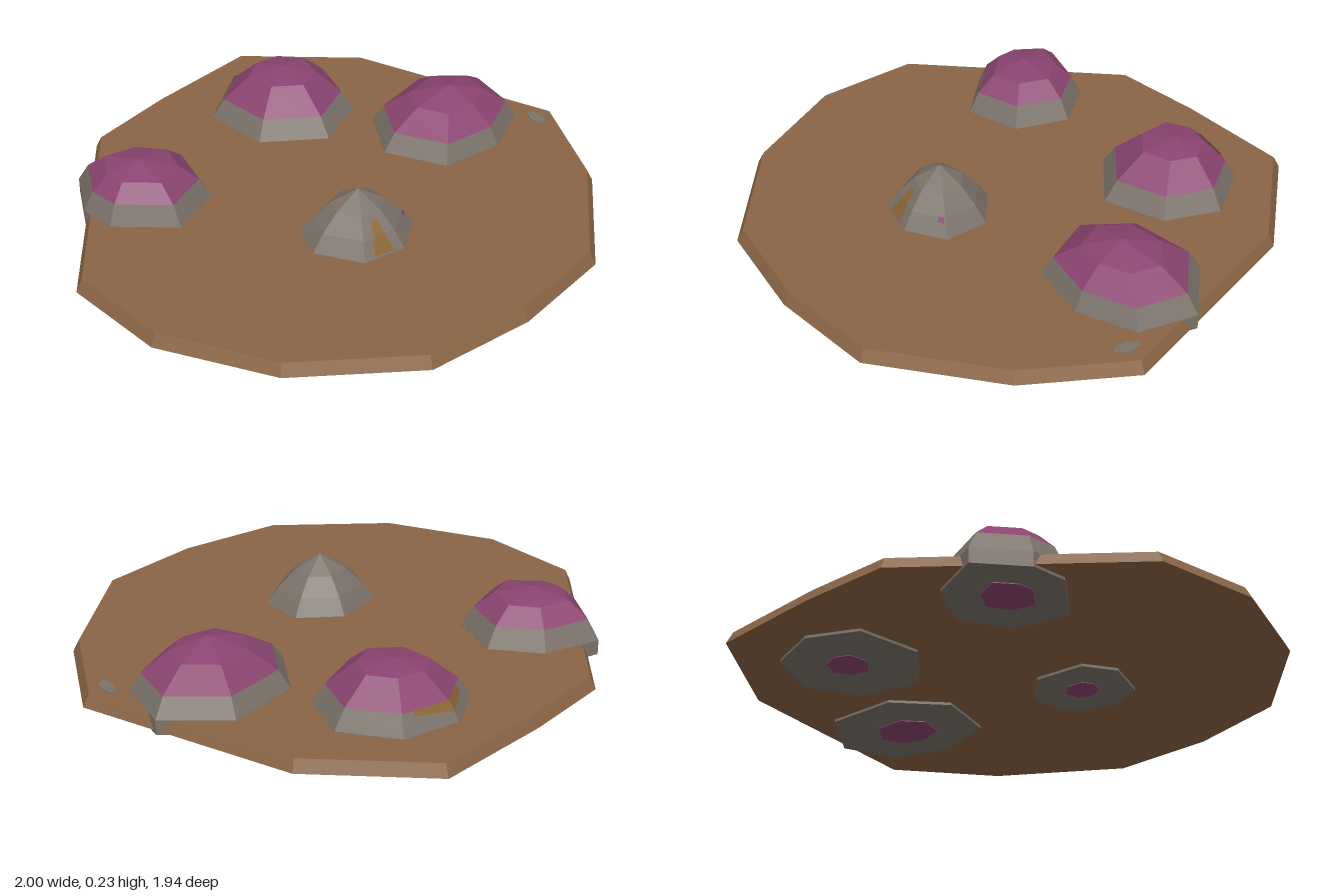
import * as THREE from 'three';

const mat = (name, color, side = THREE.FrontSide) => {
  const m = new THREE.MeshStandardMaterial({ color, side, flatShading: true });
  m.name = name;
  return m;
};

// Flat-shaded mesh from a list of triangle corners
function facets(name, points, material) {
  const g = new THREE.BufferGeometry().setFromPoints(points);
  g.computeVertexNormals();
  const mesh = new THREE.Mesh(g, material);
  mesh.name = name;
  return mesh;
}

// Joins rings of points, from the lowest up; a ring may shrink to one point
function loft(name, rings, material) {
  const pts = [];
  const tri = (a, b, c) => {
    if (!a.equals(b) && !b.equals(c) && !a.equals(c)) pts.push(a, b, c);
  };
  for (let r = 0; r < rings.length - 1; r++) {
    const n = rings[r].length;
    for (let i = 0; i < n; i++) {
      const j = (i + 1) % n;
      tri(rings[r][i], rings[r + 1][j], rings[r][j]);
      tri(rings[r][i], rings[r + 1][i], rings[r + 1][j]);
    }
  }
  return facets(name, pts, material);
}

// Outline scaled about a centre and set at height y
const ring = (outline, [cx, cz], scale, y) =>
  outline.map(([x, z]) => new THREE.Vector3(cx + (x - cx) * scale, y, cz + (z - cz) * scale));

// Rocks: outline, peak position, and [scale, height] levels above the foot
const ROCKS = {
  leftRock: {
    outline: [[-.73, -.52], [-.51, -.51], [-.355, -.38], [-.38, -.175], [-.56, -.065], [-.765, -.2], [-.8, -.33]],
    peak: [-.59, -.305], levels: [[.83, .13], [.55, .187], [0, .217]], moss: true, core: .42,
  },
  backRock: {
    outline: [[.01, -.76], [.225, -.765], [.39, -.61], [.358, -.4], [.166, -.267], [-.064, -.38], [-.128, -.62]],
    peak: [.14, -.555], levels: [[.83, .128], [.46, .213], [0, .235]], moss: true, core: .3,
  },
  rightRock: {
    outline: [[.63, -.39], [.855, -.257], [.85, -.037], [.668, .1], [.433, .112], [.289, -.08], [.374, -.29]],
    peak: [.59, -.11], levels: [[.85, .125], [.5, .193], [0, .235]], moss: true, core: .4,
  },
  frontRock: {
    outline: [[-.053, -.09 + .18], [.107, .166], [.139, .326], [.027, .44], [-.134, .44], [-.251, .3], [-.225, .17]],
    peak: [-.053, .27], levels: [[.78, .118], [.48, .178], [0, .235]], moss: false, core: .33,
  },
};

const SLAB = [
  [.19, -.975], [.595, -.705], [.995, .015], [.866, .41], [.56, .81], [.18, .935],
  [-.22, .967], [-.645, .747], [-.92, .4], [-1, .015], [-.556, -.738], [-.235, -.856],
];

export function createModel() {
  const group = new THREE.Group();
  const earth = mat('earth brown', 0x8a6545);
  const stone = mat('stone grey', 0x7b736a);
  const moss = mat('plum moss', 0x8a4470);
  const ochre = mat('ochre lichen', 0x8c6535, THREE.DoubleSide);
  const paint = mat('plum spot', 0x8a4470, THREE.DoubleSide);

  // Ground slab with slanted edges
  group.add(loft('groundSlab', [
    ring(SLAB, [0, 0], 0, .013), ring(SLAB, [0, 0], 1, .013),
    ring(SLAB, [0, 0], .977, .057), ring(SLAB, [0, 0], 0, .057),
  ], earth));

  const surfaces = {};
  for (const [name, { outline, peak, levels, moss: mossy, core }] of Object.entries(ROCKS)) {
    const rock = new THREE.Group();
    rock.name = name;
    const at = (s, y) => ring(outline, peak, s, y);
    const upper = levels.map(([s, y]) => at(s, y));
    const foot = [at(0, .003), at(1, .003), at(1, .058)];
    surfaces[name] = [...foot.slice(1), ...upper];
    if (mossy) {
      rock.add(loft('stoneFoot', [...foot, upper[0]], stone));
      rock.add(loft('mossCap', upper, moss));
    } else {
      rock.add(loft('stoneBody', [...foot, ...upper], stone));
    }
    // Moss showing through the underside
    rock.add(loft('undersideMoss', [at(0, 0), at(core, 0), at(core, .003)], moss));
    group.add(rock);
  }

  // Thin patch on a rock facet; corners are [side, level], both may be fractional
  function patch(name, rockName, corners, material) {
    const s = surfaces[rockName], n = s[0].length;
    const [cx, cz] = ROCKS[rockName].peak;
    const c = corners.map(([u, v]) => {
      const i = Math.floor(u), k = Math.min(Math.floor(v), s.length - 2);
      const along = (r) => r[i % n].clone().lerp(r[(i + 1) % n], u - i);
      const p = along(s[k]).lerp(along(s[k + 1]), v - k);
      const out = new THREE.Vector3(p.x - cx, 0, p.z - cz).normalize();
      return p.addScaledVector(out, .003).add(new THREE.Vector3(0, .003, 0));
    });
    const pts = [];
    for (let i = 1; i < c.length - 1; i++) pts.push(c[0], c[i + 1], c[i]);
    group.add(facets(name, pts, material));
  }

  // Lichen along the back of the back rock
  patch('lichenBackLeft', 'backRock', [[6.35, 1.65], [6.999, 1.5], [6.999, 2], [6.35, 2]], ochre);
  patch('lichenBackRight', 'backRock', [[0, 1.5], [.75, 1.75], [.75, 2], [0, 2]], ochre);
  // Lichen and a moss spot on the front rock
  patch('lichenFrontLow', 'frontRock', [[3.25, 1.1], [3.75, 1.1], [3.68, 2], [3.32, 2]], ochre);
  patch('lichenFrontHigh', 'frontRock', [[3.32, 2], [3.68, 2], [3.62, 2.7], [3.38, 2.7]], ochre);
  patch('mossSpot', 'frontRock', [[2.05, 1.7], [2.25, 1.75], [2.2, 2], [2.05, 2]], paint);

  // Stone chip lying near the right rim
  const chip = new THREE.Mesh(new THREE.CylinderGeometry(.025, .025, .006, 7), stone);
  chip.name = 'stoneChip';
  chip.scale.z = 2;
  chip.position.set(.9, .058, .03);
  group.add(chip);

  return group;
}
